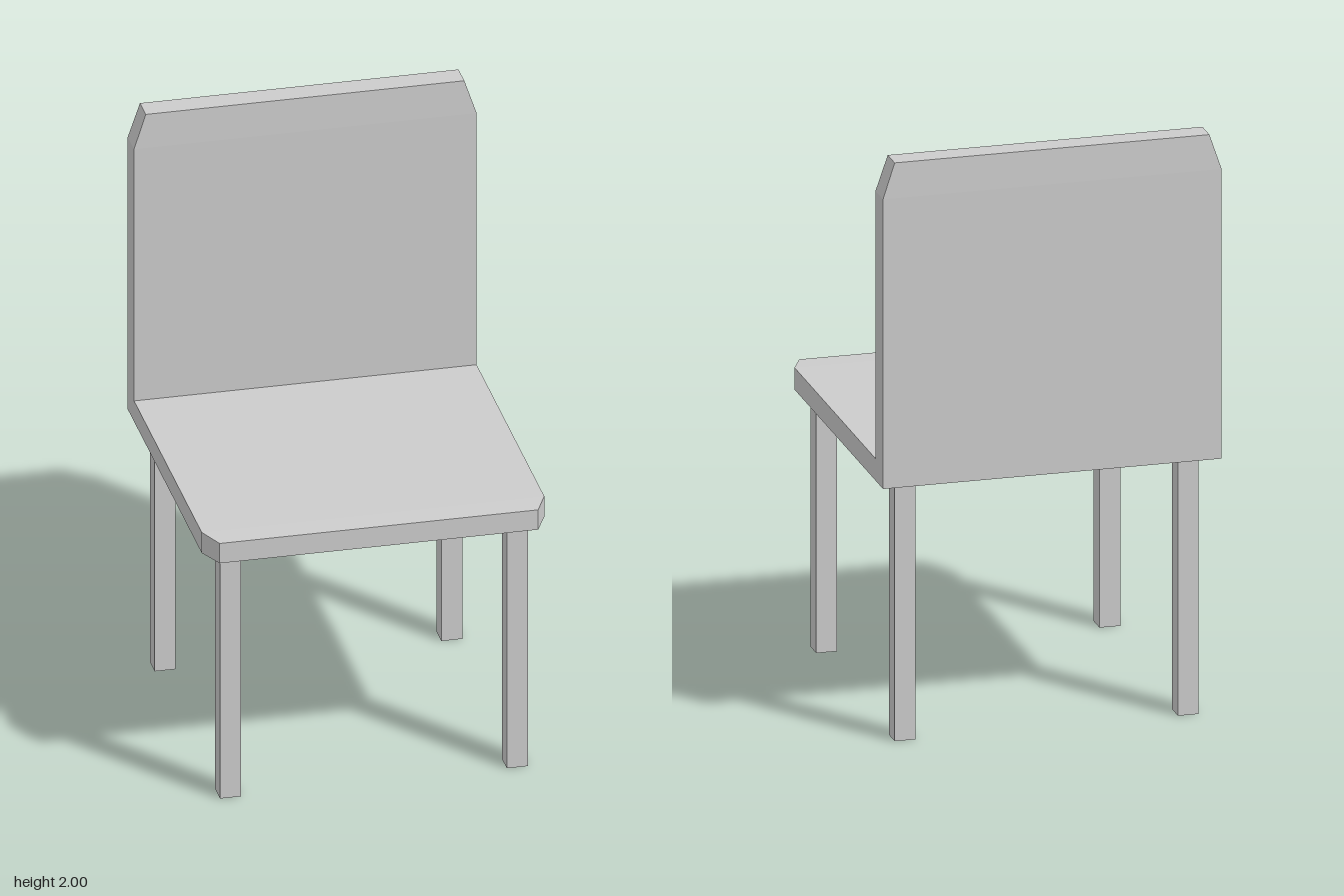
import * as THREE from 'three';

const material = new THREE.MeshStandardMaterial({ color: 0xcccccc, flatShading: true, side: THREE.DoubleSide });

// Joins a row of four-cornered sections into a closed, hard-edged solid.
function loft(sections) {
  const positions = [];
  const quad = (a, b, c, d) => [a, b, c, a, c, d].forEach((p) => positions.push(...p));
  for (let i = 0; i < sections.length - 1; i++) {
    const s = sections[i], t = sections[i + 1];
    for (let j = 0; j < 4; j++) {
      const k = (j + 1) % 4;
      quad(s[j], t[j], t[k], s[k]);
    }
  }
  quad(...sections[0]);
  quad(...[...sections[sections.length - 1]].reverse());
  const geometry = new THREE.BufferGeometry();
  geometry.setAttribute('position', new THREE.Float32BufferAttribute(positions, 3));
  geometry.computeVertexNormals();
  return geometry;
}

export function createModel() {
  const chair = new THREE.Group();
  chair.name = 'chair';

  // Seat and backrest: one bent slab, from the front edge to the top edge.
  // Each row: half width, sitting side (y, z), outer side (y, z).
  const slab = [
    [0.53, 0.962, 0.57, 0.89, 0.57],
    [0.57, 0.965, 0.485, 0.89, 0.485],
    [0.57, 0.965, -0.48, 0.89, -0.57],
    [0.57, 1.88, -0.48, 1.88, -0.57],
    [0.53, 2, -0.484, 2, -0.567],
  ].map(([w, yi, zi, yo, zo]) => [[w, yi, zi], [-w, yi, zi], [-w, yo, zo], [w, yo, zo]]);
  const seat = new THREE.Mesh(loft(slab), material);
  seat.name = 'seatAndBackrest';
  chair.add(seat);

  // Four square legs, stopping just below the seat.
  const legGeometry = new THREE.BoxGeometry(0.07, 0.88, 0.07);
  for (const [end, z] of [['front', 0.469], ['back', -0.465]]) {
    for (const [side, x] of [['Left', 0.476], ['Right', -0.478]]) {
      const leg = new THREE.Mesh(legGeometry, material);
      leg.name = `${end}${side}Leg`;
      leg.position.set(x, 0.44, z);
      chair.add(leg);
    }
  }
  return chair;
}
